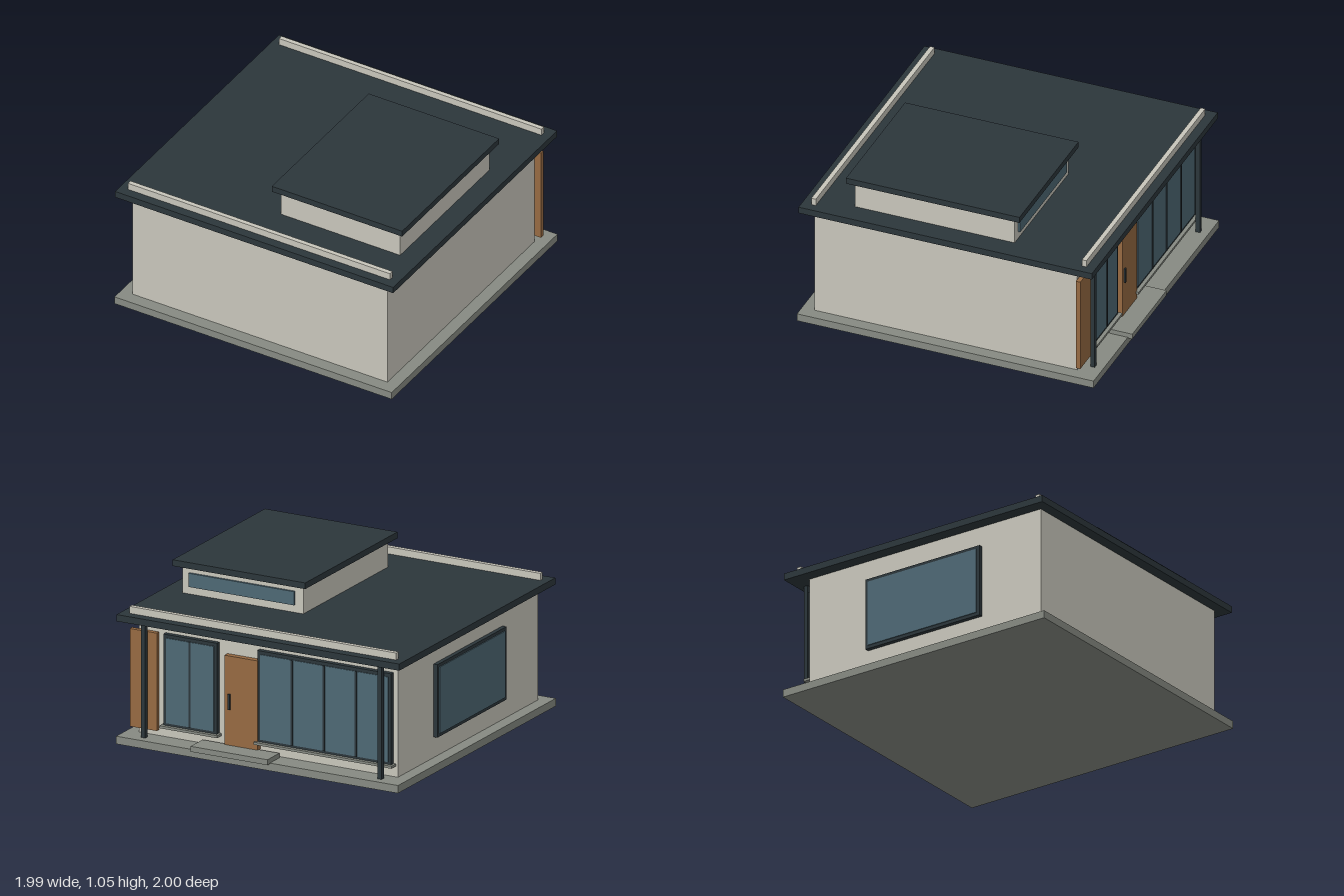
import * as THREE from 'three';

const mat = (color) => new THREE.MeshStandardMaterial({ color });

export function createModel() {
  const house = new THREE.Group();
  house.name = 'house';
  const wall = mat(0xc8c6bb), dark = mat(0x2c363b), concrete = mat(0x868a82);
  const wood = mat(0x966a42), glass = mat(0x4e6874);

  // Box given by its minimum and maximum on each axis
  const box = (name, material, [x0, x1], [y0, y1], [z0, z1], parent = house) => {
    const mesh = new THREE.Mesh(new THREE.BoxGeometry(x1 - x0, y1 - y0, z1 - z0), material);
    mesh.position.set((x0 + x1) / 2, (y0 + y1) / 2, (z0 + z1) / 2);
    mesh.name = name;
    parent.add(mesh);
    return mesh;
  };

  // Main storey
  box('foundation', concrete, [-0.99, 0.99], [0, 0.05], [-0.97, 1]);
  box('walls', wall, [-0.91, 0.91], [0.05, 0.79], [-0.828, 0.918]);
  box('mainRoof', dark, [-0.993, 0.993], [0.787, 0.83], [-0.96, 0.988]);
  box('frontParapet', wall, [-0.938, 0.935], [0.83, 0.875], [0.898, 0.928]);
  box('backParapet', wall, [-0.938, 0.935], [0.83, 0.875], [-0.9, -0.87]);

  // Upper storey with its strip window
  box('upperWalls', wall, [0.003, 0.853], [0.83, 1.012], [-0.388, 0.672]);
  box('upperRoof', dark, [-0.038, 0.893], [1.01, 1.05], [-0.437, 0.715]);
  box('upperWindow', glass, [0.06, 0.8], [0.88, 0.968], [-0.403, -0.385]);

  // Back windows: dark frame, proud glass, mullions and a sill
  const backWindow = (name, x0, x1, panes) => {
    const group = new THREE.Group();
    group.name = name;
    house.add(group);
    box('frame', dark, [x0, x1], [0.13, 0.72], [-0.86, -0.82], group);
    box('glass', glass, [x0 + 0.02, x1 - 0.02], [0.15, 0.698], [-0.865, -0.84], group);
    for (let i = 1; i < panes; i++) {
      const x = x0 + 0.02 + ((x1 - x0 - 0.04) * i) / panes;
      box('mullion', dark, [x - 0.007, x + 0.007], [0.15, 0.698], [-0.87, -0.84], group);
    }
    box('sill', concrete, [x0 - 0.015, x1 + 0.015], [0.118, 0.134], [-0.884, -0.82], group);
  };
  backWindow('wideWindow', -0.88, 0.06, 4);
  backWindow('narrowWindow', 0.345, 0.72, 2);

  // Side window
  box('sideWindowFrame', dark, [-0.938, -0.9], [0.183, 0.653], [-0.385, 0.475]);
  box('sideWindowGlass', glass, [-0.944, -0.92], [0.204, 0.632], [-0.364, 0.454]);

  // Entrance
  box('door', wood, [0.055, 0.287], [0.078, 0.655], [-0.866, -0.82]);
  box('doorHandle', dark, [0.246, 0.26], [0.31, 0.41], [-0.876, -0.86]);
  box('doorStep', concrete, [-0.09, 0.45], [0.045, 0.08], [-1, -0.85]);
  box('woodPanel', wood, [0.763, 0.952], [0.09, 0.72], [-0.866, -0.836]);

  // Porch posts
  for (const side of [-1, 1]) {
    const x = side * 0.83;
    box('porchPost', dark, [x - 0.014, x + 0.014], [0.05, 0.79], [-0.916, -0.888]);
  }
  return house;
}
